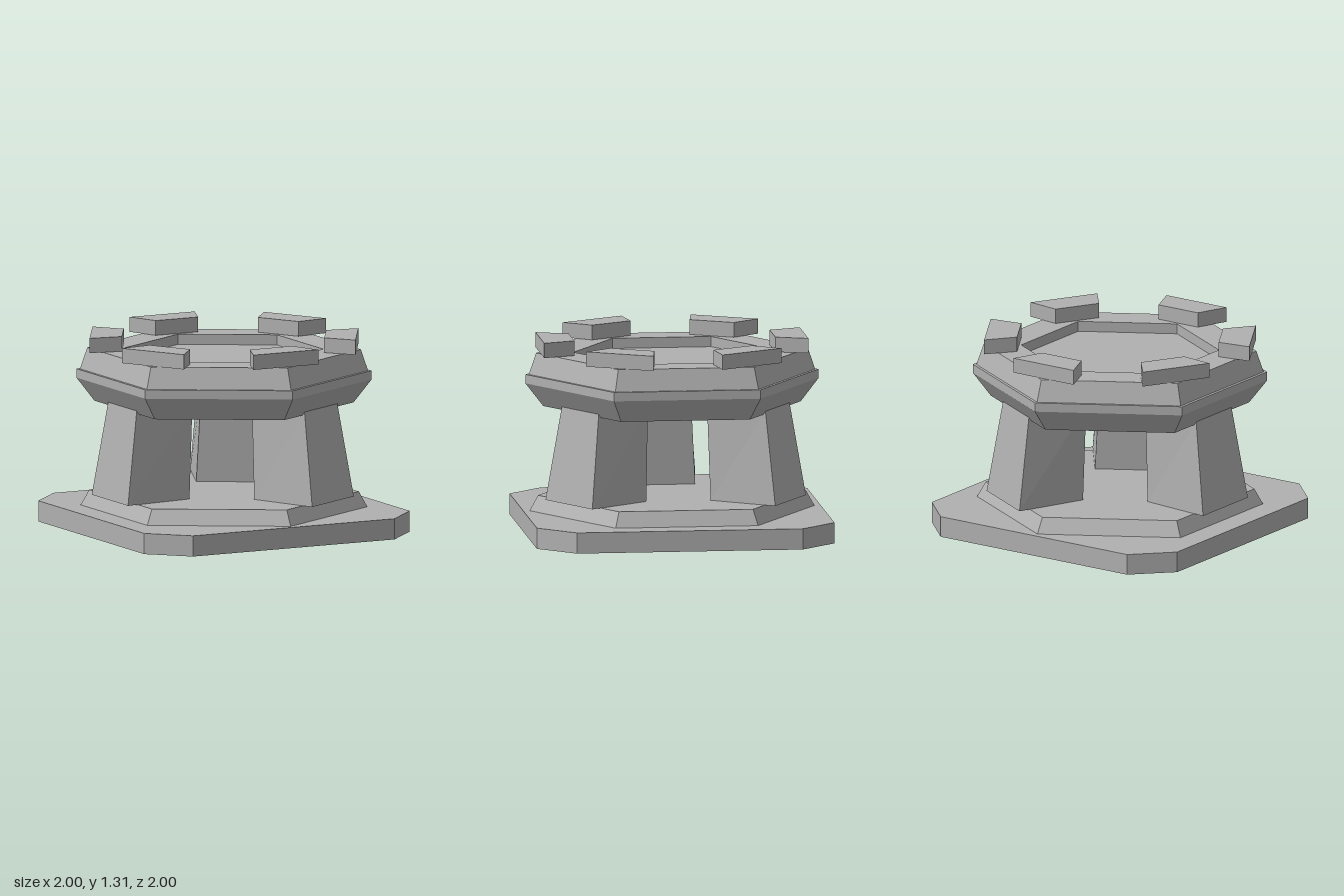
import * as THREE from 'three';

const stone = new THREE.MeshStandardMaterial({ color: 0xb0b0b0 });
stone.name = 'stone grey';

// Faceted mesh: one normal per face
function part(name, geometry) {
  const g = geometry.index ? geometry.toNonIndexed() : geometry;
  g.computeVertexNormals();
  const mesh = new THREE.Mesh(g, stone);
  mesh.name = name;
  return mesh;
}

// Six-sided solid from a [radius, y] profile, running from bottom to top
function hexSolid(name, profile) {
  const points = profile.map(([r, y]) => new THREE.Vector2(r, y));
  return part(name, new THREE.LatheGeometry(points, 6));
}

// Tapered block reaching out along +z; each end is { y, near, far, nearHalf, farHalf }
function taperedBlock(name, bottom, top, angle) {
  const g = new THREE.BoxGeometry(1, 1, 1);
  const p = g.attributes.position;
  for (let i = 0; i < p.count; i++) {
    const end = p.getY(i) > 0 ? top : bottom;
    const outer = p.getZ(i) > 0;
    const half = outer ? end.farHalf : end.nearHalf;
    p.setXYZ(i, Math.sign(p.getX(i)) * half, end.y, outer ? end.far : end.near);
  }
  g.rotateY(angle);
  return part(name, g);
}

export function createModel() {
  const model = new THREE.Group();
  model.name = 'pedestal';

  // Square base slab with cut corners
  const c = 0.76;
  const outline = [[1, -c], [1, c], [c, 1], [-c, 1], [-1, c], [-1, -c], [-c, -1], [c, -1]];
  const shape = new THREE.Shape(outline.map(([x, y]) => new THREE.Vector2(x, y)));
  const slab = new THREE.ExtrudeGeometry(shape, { depth: 0.14, bevelEnabled: false });
  slab.rotateX(-Math.PI / 2);
  model.add(part('baseSlab', slab));

  // Hexagonal plinth
  model.add(hexSolid('plinth', [[0, 0.135], [0.96, 0.135], [0.9, 0.243], [0, 0.243]]));

  // Three leaning legs
  const foot = { y: 0.243, near: 0.365, far: 0.86, nearHalf: 0.2, farHalf: 0.26 };
  const head = { y: 0.87, near: 0.325, far: 0.765, nearHalf: 0.165, farHalf: 0.205 };
  const legs = new THREE.Group();
  legs.name = 'legs';
  for (const degrees of [-90, 30, 150]) {
    legs.add(taperedBlock('leg', foot, head, THREE.MathUtils.degToRad(degrees)));
  }
  model.add(legs);

  // Hexagonal platform with a rim band and a sunken floor
  model.add(hexSolid('platform', [
    [0, 0.845], [0.865, 0.845], [0.985, 1], [0.985, 1.06], [0.962, 1.06],
    [0.913, 1.204], [0.662, 1.204], [0.662, 1.135], [0, 1.135],
  ]));

  // Six wedge blocks over the platform corners
  const wedge = { near: 0.675, far: 0.888, nearHalf: 0.16, farHalf: 0.245 };
  const blocks = new THREE.Group();
  blocks.name = 'cornerBlocks';
  for (let i = 0; i < 6; i++) {
    blocks.add(taperedBlock('cornerBlock', { ...wedge, y: 1.206 }, { ...wedge, y: 1.306 }, i * Math.PI / 3));
  }
  model.add(blocks);

  return model;
}
